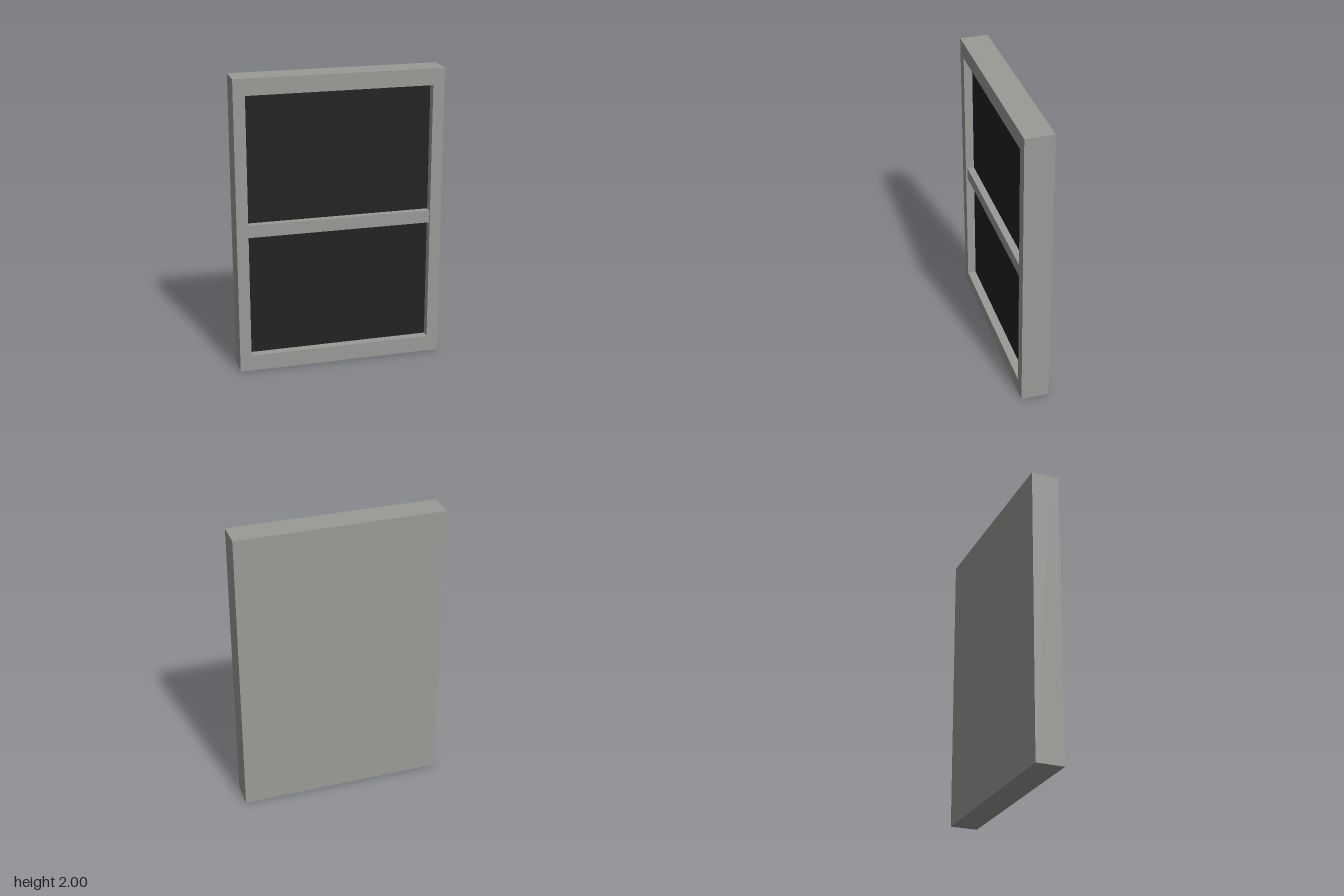
import * as THREE from 'three';

const W = 1.395, H = 2, D = 0.19;          // overall size
const IN_X = 0.62, IN_Y0 = 0.11, IN_Y1 = 1.89; // opening
const PANE_Z = 0.037;                      // front of the recessed panes
const BACK_Z = 0.032;                      // front of the solid back

function mat(name, color) {
  const m = new THREE.MeshStandardMaterial({ color });
  m.name = name;
  return m;
}

export function createModel() {
  const group = new THREE.Group();
  group.name = 'window';
  const grey = mat('frame grey', 0x9a9b97);
  const dark = mat('dark glass', 0x222222);

  // Box given by its limits on each axis
  const box = (name, material, x0, x1, y0, y1, z0, z1) => {
    const mesh = new THREE.Mesh(new THREE.BoxGeometry(x1 - x0, y1 - y0, z1 - z0), material);
    mesh.position.set((x0 + x1) / 2, (y0 + y1) / 2, (z0 + z1) / 2);
    mesh.name = name;
    group.add(mesh);
  };

  // Solid back
  box('backPanel', grey, -W / 2, W / 2, 0, H, -D / 2, BACK_Z);

  // Raised surround with one large opening
  const outline = new THREE.Shape();
  outline.moveTo(-W / 2, 0).lineTo(W / 2, 0).lineTo(W / 2, H).lineTo(-W / 2, H).closePath();
  const opening = new THREE.Path();
  opening.moveTo(-IN_X, IN_Y0).lineTo(-IN_X, IN_Y1).lineTo(IN_X, IN_Y1).lineTo(IN_X, IN_Y0).closePath();
  outline.holes.push(opening);
  const frame = new THREE.Mesh(
    new THREE.ExtrudeGeometry(outline, { depth: D / 2 - BACK_Z, bevelEnabled: false }), grey);
  frame.position.z = BACK_Z;
  frame.name = 'frame';
  group.add(frame);

  // Cross rail, set slightly behind the frame front
  box('crossRail', grey, -IN_X, IN_X, 0.945, 1.03, BACK_Z, 0.084);

  // Panes
  box('lowerPane', dark, -IN_X, IN_X, IN_Y0, 0.945, BACK_Z, PANE_Z);
  box('upperPane', dark, -IN_X, IN_X, 1.03, IN_Y1, BACK_Z, PANE_Z);

  return group;
}
